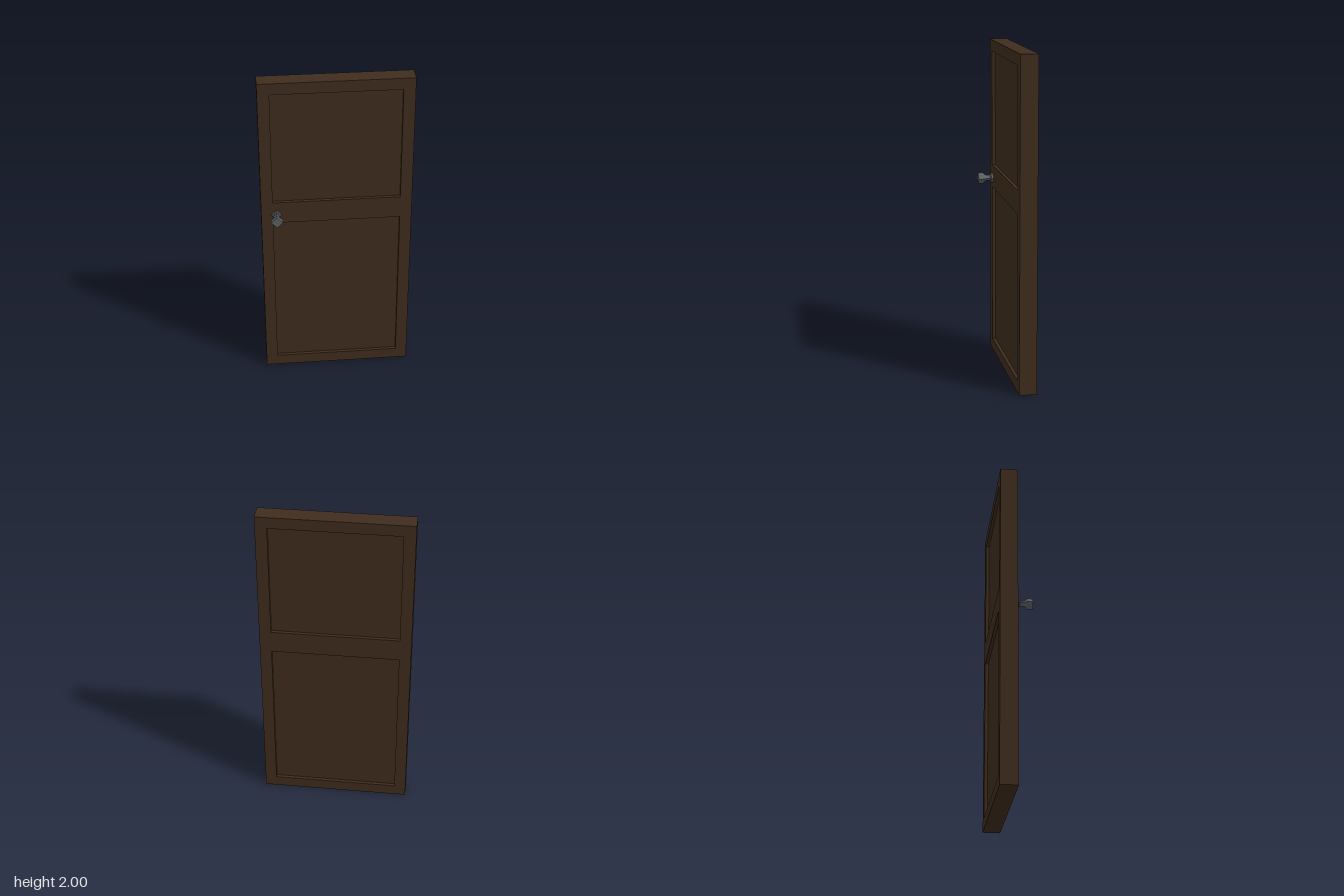
import * as THREE from 'three';

const BACK = -0.1, FRONT = 0.005, RECESS = 0.02;
const PANELS = [[0.07, 1.08], [1.22, 1.93]]; // bottom and top of each panel
const PANEL_HALF = 0.38;

function rectangle(Type, x0, y0, x1, y1) {
  const r = new Type();
  r.moveTo(x0, y0).lineTo(x1, y0).lineTo(x1, y1).lineTo(x0, y1).closePath();
  return r;
}

export function createModel() {
  const door = new THREE.Group();
  door.name = 'door';
  const wood = new THREE.MeshStandardMaterial({ color: 0x3f2c1d });
  const metal = new THREE.MeshStandardMaterial({ color: 0x5c6062, flatShading: true });

  // Frame of stiles and rails with two openings
  const outline = rectangle(THREE.Shape, -0.45, 0, 0.45, 2);
  for (const [y0, y1] of PANELS) {
    outline.holes.push(rectangle(THREE.Path, -PANEL_HALF, y0, PANEL_HALF, y1));
  }
  const frame = new THREE.Mesh(
    new THREE.ExtrudeGeometry(outline, { depth: FRONT - BACK, bevelEnabled: false }), wood);
  frame.position.z = BACK;
  frame.name = 'frame';
  door.add(frame);

  // Panels set back from both faces
  PANELS.forEach(([y0, y1], i) => {
    const panel = new THREE.Mesh(
      new THREE.BoxGeometry(2 * PANEL_HALF, y1 - y0, FRONT - BACK - 2 * RECESS), wood);
    panel.position.set(0, (y0 + y1) / 2, (FRONT + BACK) / 2);
    panel.name = i ? 'upperPanel' : 'lowerPanel';
    door.add(panel);
  });

  // Four-sided knob: base plate, narrow stem and flared grip
  const profile = [
    [0.031, 0], [0.031, 0.013], [0.024, 0.019], [0.018, 0.019],
    [0.018, 0.045], [0.035, 0.066], [0.035, 0.095], [0, 0.095],
  ].map(([r, h]) => new THREE.Vector2(r, h));
  const knob = new THREE.Mesh(new THREE.LatheGeometry(profile, 4).rotateX(Math.PI / 2), metal);
  knob.position.set(-0.36, 1.14, FRONT);
  knob.name = 'knob';
  door.add(knob);

  return door;
}
